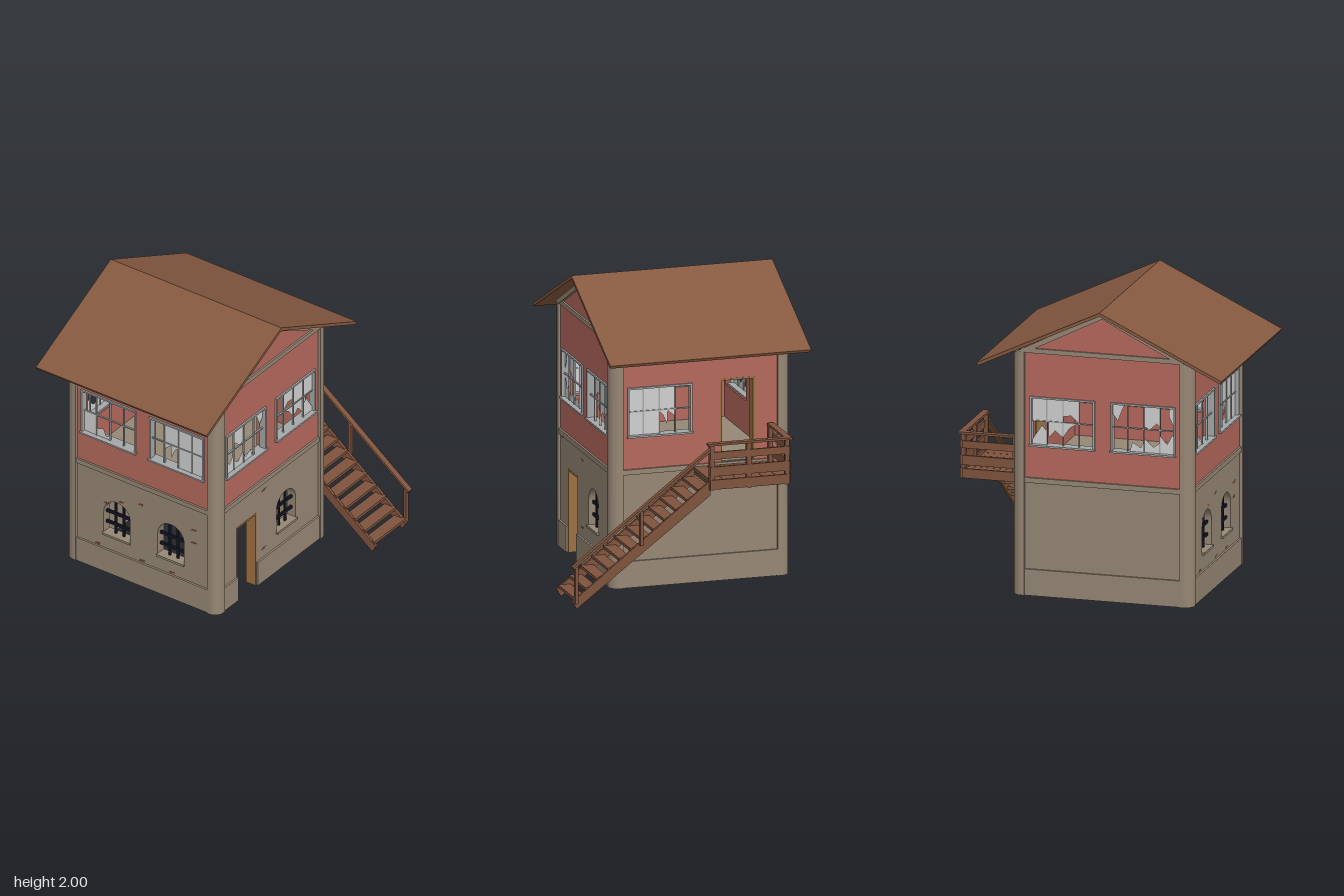
import * as THREE from 'three';
import { toCreasedNormals } from 'three/addons/utils/BufferGeometryUtils.js';

const mat = (name, color, side = THREE.FrontSide) => {
  const m = new THREE.MeshStandardMaterial({ color, side });
  m.name = name;
  return m;
};

export function createModel() {
  const plaster = mat('plaster', 0x968775);
  const red = mat('red render', 0xb5695d);
  const roofMat = mat('roof brown', 0x85593f);
  const wood = mat('stair wood', 0x7f533d);
  const metal = mat('window frame grey', 0xa4a8a8);
  const glass = mat('glass', 0xd0d0d0, THREE.DoubleSide);
  const iron = mat('iron bars', 0x171726);
  const jambMat = mat('door jamb', 0x9c7040);
  const brick = mat('exposed brick', 0xa5633f);

  const model = new THREE.Group();
  model.name = 'signalHouse';

  const add = (parent, name, geo, material) => {
    const m = new THREE.Mesh(geo, material);
    m.name = name;
    parent.add(m);
    return m;
  };
  // box given by its limits on each axis
  const box = (parent, name, material, x0, x1, y0, y1, z0, z1) => {
    const g = new THREE.BoxGeometry(x1 - x0, y1 - y0, z1 - z0);
    g.translate((x0 + x1) / 2, (y0 + y1) / 2, (z0 + z1) / 2);
    return add(parent, name, g, material);
  };
  const poly = (pts) => new THREE.Shape(pts.map(([x, y]) => new THREE.Vector2(x, y)));
  // shape in XY, extruded from z0 to z1
  const slab = (parent, name, material, shape, z0, z1) => {
    const g = new THREE.ExtrudeGeometry(shape, { depth: z1 - z0, bevelEnabled: false, curveSegments: 10 });
    g.translate(0, 0, z0);
    return add(parent, name, toCreasedNormals(g, 0.6), material);
  };
  const rect = (u0, u1, v0, v1) => [[u0, v0], [u1, v0], [u1, v1], [u0, v1]];

  const house = new THREE.Group();
  house.name = 'house';
  house.position.set(-0.16, 0, 0.085);
  model.add(house);

  const IN = 0.53, OUT = 0.6, BASE = 0.01;

  // paned window with broken glass; shards are in pane units (4 wide, 2 high)
  function panedWindow(wall, u0, shards) {
    const w = 0.445, y0 = 1.03, y1 = 1.37, t = 0.012;
    const g = new THREE.Group();
    g.name = 'panedWindow';
    wall.add(g);
    for (const u of [u0, u0 + w - t]) box(g, 'frameSide', metal, u, u + t, y0, y1, 0.56, 0.61);
    box(g, 'frameTop', metal, u0, u0 + w, y1 - t, y1, 0.56, 0.612);
    box(g, 'windowSill', metal, u0 - 0.005, u0 + w + 0.005, y0, y0 + t, 0.54, 0.622);
    for (let i = 1; i < 4; i++) {
      const u = u0 + w * i / 4;
      box(g, 'mullion', metal, u - 0.004, u + 0.004, y0, y1, 0.579, 0.591);
    }
    box(g, 'crossBar', metal, u0, u0 + w, 1.197, 1.205, 0.579, 0.591);
    for (const s of shards) {
      const geo = new THREE.ShapeGeometry(poly(s.map(([a, b]) => [u0 + a * w / 4, y0 + b * 0.17])));
      geo.translate(0, 0, 0.585);
      add(g, 'glassShard', geo, glass);
    }
  }

  const archPath = (c) => {
    const p = new THREE.Path();
    p.moveTo(c - 0.1075, 0.31);
    p.lineTo(c + 0.1075, 0.31);
    p.lineTo(c + 0.1075, 0.4725);
    p.absarc(c, 0.4725, 0.1075, 0, Math.PI, false);
    p.lineTo(c - 0.1075, 0.31);
    return p;
  };
  function archBars(wall, c) {
    for (const d of [-0.034, 0.034]) box(wall, 'verticalBar', iron, c + d - 0.008, c + d + 0.008, 0.31, 0.572, 0.56, 0.572);
    for (const y of [0.382, 0.466]) box(wall, 'crossBar', iron, c - 0.107, c + 0.107, y - 0.01, y + 0.01, 0.558, 0.574);
    box(wall, 'archSill', plaster, c - 0.112, c + 0.112, 0.295, 0.311, 0.54, 0.615);
  }
  // outline of a wall with an optional door notch at the bottom
  const wallShape = (y0, y1, door, doorTop) => poly(door
    ? [[-0.57, y0], [door[0], y0], [door[0], doorTop], [door[1], doorTop], [door[1], y0], [0.57, y0], [0.57, y1], [-0.57, y1]]
    : rect(-0.57, 0.57, y0, y1));
  function doorJamb(wall, [a, b], y0, y1) {
    box(wall, 'doorJamb', jambMat, a, a + 0.012, y0, y1, IN - 0.005, 0.602);
    box(wall, 'doorJamb', jambMat, b - 0.012, b, y0, y1, IN - 0.005, 0.602);
    box(wall, 'doorHead', jambMat, a, b, y1 - 0.012, y1, IN - 0.005, 0.602);
  }

  // broken glass patterns
  const lowShard = [[[0, 0], [2, 0], [2, 0.25], [1.7, 0.2], [1.5, 0.5], [1.1, 0.4], [1.05, 1], [0, 1]]];
  const halfGlass = [rect(2, 4, 0, 2), [[1, 2], [2, 2], [2, 0.95], [1.75, 0.8], [1.5, 0.4], [1.45, 0.95], [1, 0.7]]];
  const sideA = [
    [[0, 2], [0.4, 2], [0.45, 1.6], [0.2, 1.25], [0, 1.2]],
    [[0, 0], [1, 0], [1, 0.8], [0.55, 0.45], [0.25, 0.85], [0, 0.7]],
    [[1, 2], [2, 2], [2, 1.1], [1.6, 1], [1.2, 1.25], [1, 1.15]],
    [[1, 0], [2.9, 0], [2.7, 0.45], [2.2, 0.25], [1.9, 0.6], [1.4, 0.3], [1, 0.5]],
    [[3.1, 2], [4, 2], [4, 1.6], [3.6, 1.25], [3.3, 1.75]]];
  const sideB = [
    [[1, 2], [2, 2], [2, 1.25], [1.5, 1.3], [1, 1]],
    rect(2, 4, 1, 2),
    [[1.1, 1], [2.9, 1], [2.9, 0.35], [2.5, 0.65], [2, 0.4], [1.6, 0.8]],
    [[3, 0], [4, 0], [3.9, 0.25], [3.3, 0.85], [3, 0.6]]];
  const mirrored = (list) => list.map((s) => s.map(([a, b]) => [4 - a, b]));

  // each wall is built facing +z, then turned into place
  const walls = [
    { name: 'frontWall', yaw: 0, arches: [-0.2125, 0.2275], windows: [[-0.5, lowShard], [0.055, halfGlass]],
      bricks: [[0.41, 0.6], [0.41, 0.5], [-0.02, 0.635], [-0.3, 0.54], [-0.18, 0.59], [-0.37, 0.197], [-0.01, 0.197], [0.23, 0.197]] },
    { name: 'leftWall', yaw: Math.PI / 2, gable: true, arches: [0.1775], lowDoor: [-0.375, -0.155],
      windows: [[-0.5, sideA], [0.055, sideB]], bricks: [[-0.5, 0.76], [-0.26, 0.765], [0.1, 0.765], [0.35, 0.765], [-0.07, 0.71], [-0.07, 0.25]] },
    { name: 'backWall', yaw: Math.PI, arches: [], highDoor: [0.14, 0.38], windows: [[-0.5, mirrored(halfGlass)]], bricks: [] },
    { name: 'rightWall', yaw: -Math.PI / 2, gable: true, arches: [],
      windows: [[-0.5, mirrored(sideB)], [0.055, mirrored(sideA)]], bricks: [] },
  ];
  for (const d of walls) {
    const wall = new THREE.Group();
    wall.name = d.name;
    wall.rotation.y = d.yaw;
    house.add(wall);

    const lower = wallShape(BASE, 0.8, d.lowDoor, 0.58);
    lower.holes = d.arches.map(archPath);
    slab(wall, 'lowerPanel', plaster, lower, IN, OUT);
    d.arches.forEach((c) => archBars(wall, c));

    const upper = wallShape(0.8, 1.68, d.highDoor, 1.38);
    upper.holes = d.windows.map(([u]) => new THREE.Path(rect(u, u + 0.445, 1.03, 1.37).map(([x, y]) => new THREE.Vector2(x, y))));
    slab(wall, 'upperPanel', red, upper, IN, OUT);
    d.windows.forEach(([u, shards]) => panedWindow(wall, u, shards));

    // plinth, split at the lower door, and the horizontal bands
    const cuts = d.lowDoor ? [[-0.55, d.lowDoor[0]], [d.lowDoor[1], 0.55]] : [[-0.55, 0.55]];
    for (const [a, b] of cuts) box(wall, 'plinth', plaster, a, b, BASE, 0.19, 0.59, 0.614);
    box(wall, 'middleBand', plaster, -0.55, 0.55, 0.78, 0.815, 0.59, 0.614);
    const top = d.gable ? 1.7 : 1.67;
    box(wall, 'topBand', plaster, -0.55, 0.55, top - 0.032, top, 0.59, 0.614);
    if (d.lowDoor) doorJamb(wall, d.lowDoor, BASE, 0.58);
    if (d.highDoor) doorJamb(wall, d.highDoor, 0.8, 1.38);
    if (d.gable) {
      slab(wall, 'gablePanel', red, poly([[-0.57, 1.68], [0.57, 1.68], [0, 1.962]]), IN, OUT);
      slab(wall, 'gableTrim', plaster,
        poly([[-0.6, 1.67], [-0.525, 1.67], [0, 1.937], [0.525, 1.67], [0.6, 1.67], [0, 1.974]]), 0.59, 0.618);
    }
    for (const [u, v] of d.bricks) {
      box(wall, 'exposedBrick', brick, u - 0.02, u + 0.015, v, v + 0.006, 0.598, 0.602);
      box(wall, 'exposedBrick', brick, u - 0.01, u + 0.025, v + 0.009, v + 0.014, 0.598, 0.602);
    }
  }

  // rounded corner columns
  for (let i = 0; i < 4; i++) {
    const s = new THREE.Shape();
    s.moveTo(0.535, 0.535);
    s.lineTo(0.62, 0.535);
    s.absarc(0.555, 0.555, 0.065, 0, Math.PI / 2, false);
    s.lineTo(0.535, 0.62);
    const col = slab(house, 'cornerColumn', plaster, s, BASE, 1.672);
    col.geometry.rotateX(-Math.PI / 2);
    col.rotation.y = i * Math.PI / 2;
  }
  box(house, 'upperFloor', plaster, -0.54, 0.54, 0.77, 0.805, -0.54, 0.54);

  // pitched roof, profile drawn in (-z, y) and extruded along x
  const roof = slab(model, 'roof', roofMat, poly([
    [-0.93, 1.597], [-0.92, 1.578], [-0.09, 1.977], [0.745, 1.578], [0.755, 1.597], [-0.09, 2]]), -0.855, 0.535);
  roof.geometry.rotateY(Math.PI / 2);

  // balcony behind the upper door
  const balcony = new THREE.Group();
  balcony.name = 'balcony';
  model.add(balcony);
  for (let i = 0; i < 6; i++) {
    const x = -0.65 + i * 0.09;
    box(balcony, 'deckPlank', wood, x, x + 0.087, 0.775, 0.8, -0.9, -0.53);
  }
  box(balcony, 'deckFrame', wood, -0.65, -0.11, 0.755, 0.776, -0.9, -0.53);
  for (const x of [-0.65, -0.385, -0.13]) box(balcony, 'railPost', wood, x, x + 0.03, 0.74, 1.05, -0.925, -0.895);
  box(balcony, 'railPost', wood, -0.65, -0.62, 0.755, 1.05, -0.57, -0.54);
  for (const [y0, y1] of [[0.745, 0.81], [0.835, 0.9], [0.95, 1.0]]) {
    box(balcony, 'railBoard', wood, -0.65, -0.1, y0, y1, -0.93, -0.915);
    box(balcony, 'railBoard', wood, -0.66, -0.645, y0, y1, -0.915, -0.54);
  }
  box(balcony, 'railCap', wood, -0.665, -0.085, 1.045, 1.06, -0.94, -0.895);
  box(balcony, 'railCap', wood, -0.665, -0.62, 1.045, 1.06, -0.895, -0.535);

  // stairs descending to the left
  const stairs = new THREE.Group();
  stairs.name = 'stairs';
  model.add(stairs);
  const stringer = poly([[-0.11, 0.7], [0.815, 0], [0.845, 0.05], [-0.11, 0.8]]);
  for (const z of [-0.56, -0.9]) slab(stairs, 'stringer', wood, stringer, z, z + 0.018);
  for (let i = 0; i < 12; i++) {
    const x = -0.11 + i * 0.078, y = 0.745 - i * 0.0605;
    box(stairs, 'tread', wood, x, x + 0.085, y - 0.02, y, -0.895, -0.548);
  }
  slab(stairs, 'handrail', wood, poly([[-0.1, 1.005], [0.845, 0.28], [0.852, 0.295], [-0.1, 1.025]]), -0.94, -0.9);
  for (const [x, y] of [[0.81, 0.04], [0.36, 0.4]]) box(stairs, 'handrailPost', wood, x, x + 0.022, y, y + 0.255, -0.925, -0.9);

  return model;
}
